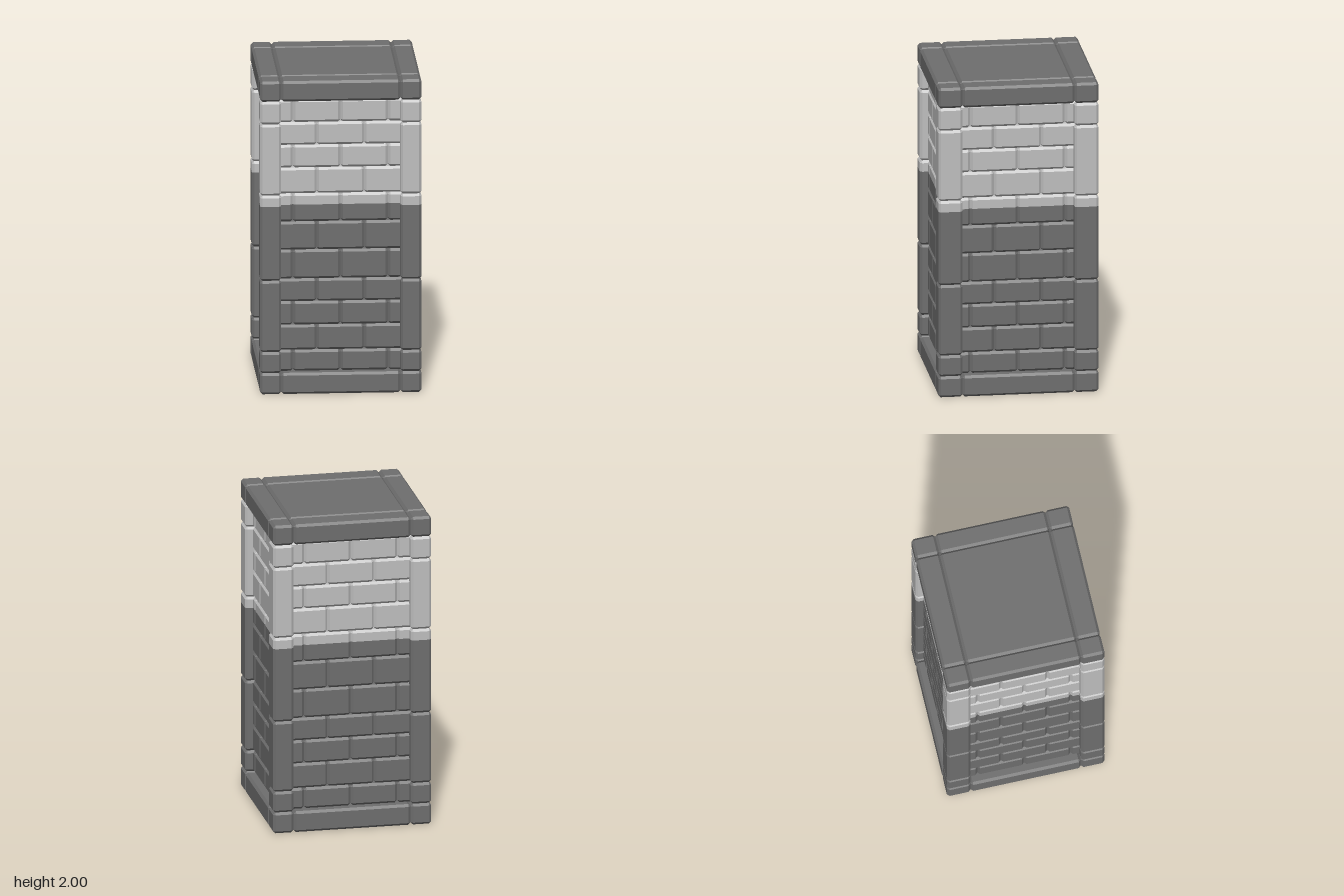
import * as THREE from 'three';
import { ConvexGeometry } from 'three/addons/geometries/ConvexGeometry.js';

const BEVEL = 0.015;
const PAINT_LINE = 1.2;
const CAP_BOTTOM = 1.87;
const BASE_TOP = 0.135;

export function createModel() {
  const darkStone = new THREE.MeshStandardMaterial({ color: 0x6e6e6e });
  darkStone.name = 'dark stone';
  const paleStone = new THREE.MeshStandardMaterial({ color: 0xbebebe });
  paleStone.name = 'pale stone';

  // Block with chamfered edges; a square end leaves a flush cut for the colour change
  function blockGeometry([x0, x1], [y0, y1], [z0, z1], squareBottom, squareTop) {
    const points = [];
    const b = BEVEL;
    for (const [x, dx] of [[x0, b], [x1, -b]]) {
      for (const [z, dz] of [[z0, b], [z1, -b]]) {
        for (const [y, dy, square] of [[y0, b, squareBottom], [y1, -b, squareTop]]) {
          const inset = square ? 0 : dy;
          points.push(new THREE.Vector3(x, y + inset, z + dz));
          points.push(new THREE.Vector3(x + dx, y + inset, z));
          if (!square) points.push(new THREE.Vector3(x + dx, y, z + dz));
        }
      }
    }
    return new ConvexGeometry(points);
  }

  // Adds one block, split in two where it crosses the paint line
  function addBlock(parent, name, xs, ys, zs) {
    const add = (range, material, squareBottom = false, squareTop = false) => {
      const mesh = new THREE.Mesh(blockGeometry(xs, range, zs, squareBottom, squareTop), material);
      mesh.name = name;
      parent.add(mesh);
    };
    const [y0, y1] = ys;
    if (y0 < PAINT_LINE && y1 > PAINT_LINE) {
      add([y0, PAINT_LINE], darkStone, false, true);
      add([PAINT_LINE, y1], paleStone, true, false);
    } else {
      add(ys, y0 > PAINT_LINE && y0 < CAP_BOTTOM ? paleStone : darkStone);
    }
  }

  const section = (name) => {
    const group = new THREE.Group();
    group.name = name;
    return group;
  };
  const model = section('brickPillar');

  // Base and cap: a grid of corner blocks, edge beams and a centre slab
  const gridX = [-0.5, -0.37, 0.37, 0.5];
  const gridZ = [-0.5, -0.35, 0.35, 0.5];
  for (const [name, ys] of [['base', [0, BASE_TOP]], ['cap', [CAP_BOTTOM, 2]]]) {
    const group = section(name);
    for (let i = 0; i < 3; i++) {
      for (let j = 0; j < 3; j++) {
        const part = i === 1 && j === 1 ? 'Slab' : i === 1 || j === 1 ? 'Beam' : 'Corner';
        addBlock(group, name + part, [gridX[i], gridX[i + 1]], ys, [gridZ[j], gridZ[j + 1]]);
      }
    }
    model.add(group);
  }

  // Corner columns of stacked stones
  const columnLevels = [BASE_TOP, 0.27, 0.725, 1.27, 1.725, CAP_BOTTOM];
  const columns = section('cornerColumns');
  for (const i of [0, 2]) {
    for (const j of [0, 2]) {
      for (let k = 0; k < columnLevels.length - 1; k++) {
        addBlock(columns, 'columnStone', [gridX[i], gridX[i + 1]],
          [columnLevels[k], columnLevels[k + 1]], [gridZ[j], gridZ[j + 1]]);
      }
    }
  }
  model.add(columns);

  // Four recessed walls in running bond, with the ends hidden in the columns
  const rows = [BASE_TOP, 0.27, 0.43, 0.58, 0.725, 0.91, 1.09, 1.27, 1.435, 1.58, 1.725, CAP_BOTTOM];
  const joints = [
    [-0.44, -0.295, 0, 0.295, 0.44],
    [-0.44, -0.147, 0.147, 0.44],
  ];
  ['frontWall', 'leftWall', 'backWall', 'rightWall'].forEach((name, side) => {
    const wall = section(name);
    for (let r = 0; r < rows.length - 1; r++) {
      const cuts = joints[r % 2];
      for (let k = 0; k < cuts.length - 1; k++) {
        addBlock(wall, 'brick', [cuts[k], cuts[k + 1]], [rows[r], rows[r + 1]], [0.35, 0.45]);
      }
    }
    wall.rotation.y = side * Math.PI / 2;
    model.add(wall);
  });

  return model;
}
